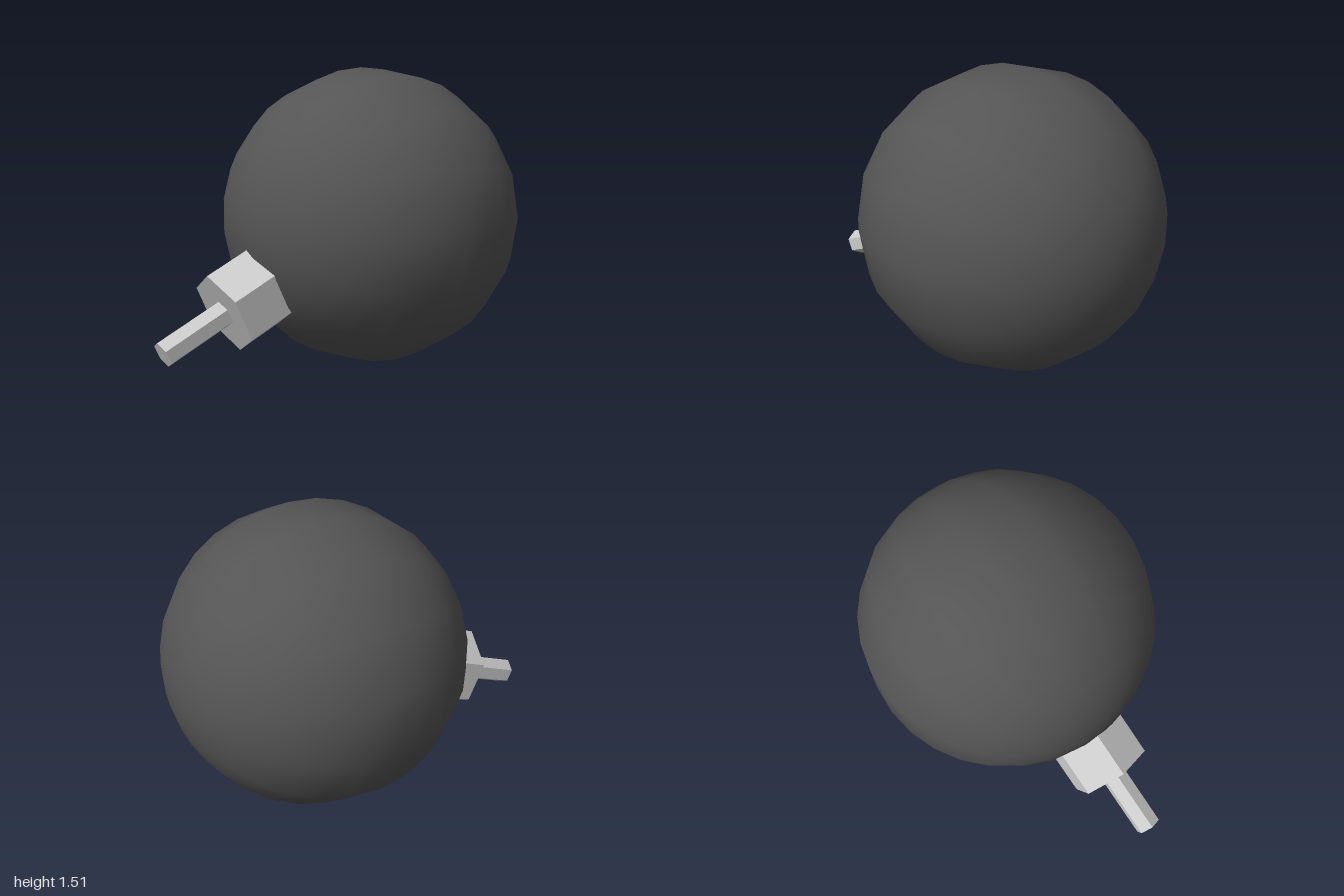
import * as THREE from 'three';

export function createModel() {
  const group = new THREE.Group();
  group.position.set(-0.008, 0.756, -0.24);

  // Round body: 15 slices around the z axis, 16 rings
  const ballGeometry = new THREE.SphereGeometry(0.76, 15, 16);
  ballGeometry.rotateX(Math.PI / 2).rotateZ(Math.PI);
  const ball = new THREE.Mesh(ballGeometry, new THREE.MeshStandardMaterial({ color: 0x555555 }));
  ball.name = 'ball';
  group.add(ball);

  // Hexagonal neck and stem, both on one axis tilted down from the ball's centre
  const neck = new THREE.Group();
  neck.name = 'neckAndStem';
  neck.rotation.x = THREE.MathUtils.degToRad(24.4);
  group.add(neck);

  const grey = new THREE.MeshStandardMaterial({ color: 0xcccccc, flatShading: true });
  const addHexRod = (name, radius, start, end) => {
    const geometry = new THREE.CylinderGeometry(radius, radius, end - start, 6);
    geometry.rotateX(Math.PI / 2).translate(0, 0, (start + end) / 2);
    const rod = new THREE.Mesh(geometry, grey);
    rod.name = name;
    neck.add(rod);
  };
  addHexRod('collar', 0.215, 0.66, 0.967);
  addHexRod('stem', 0.068, 0.93, 1.331);

  const model = new THREE.Group();
  model.name = 'ballWithStem';
  model.add(group);
  return model;
}
